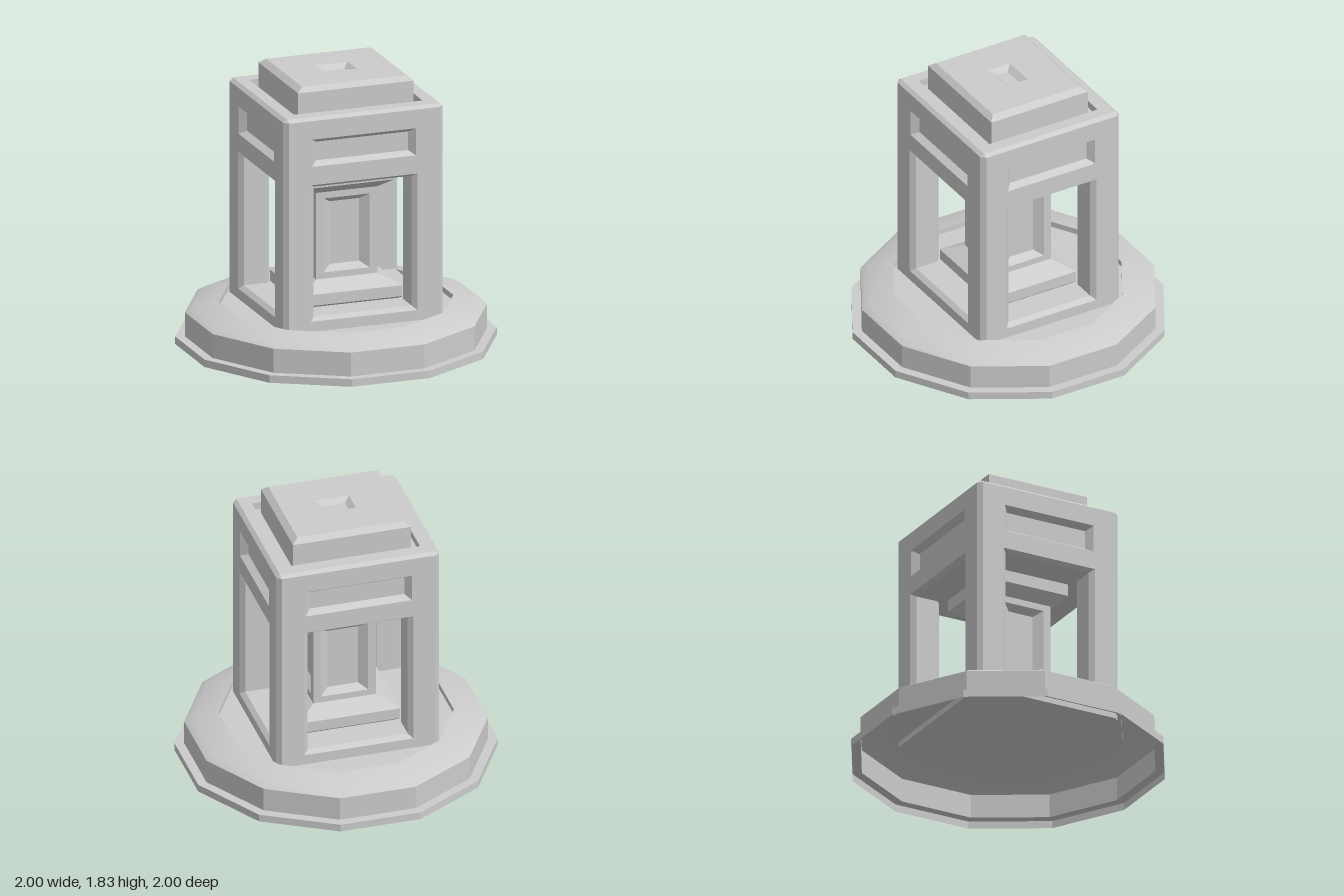
import * as THREE from 'three';
import { mergeGeometries, toCreasedNormals } from 'three/addons/utils/BufferGeometryUtils.js';

const material = new THREE.MeshStandardMaterial({ color: 0xcccccc });
const shellMaterial = new THREE.MeshStandardMaterial({ color: 0xcccccc, side: THREE.DoubleSide });

// Counter-clockwise rectangle in xy at depth z; c chamfers the corners (eight points)
function rect(hw, y0, y1, z, c) {
  const xy = c === undefined
    ? [[-hw, y0], [hw, y0], [hw, y1], [-hw, y1]]
    : [[-hw + c, y0], [hw - c, y0], [hw, y0 + c], [hw, y1 - c],
       [hw - c, y1], [-hw + c, y1], [-hw, y1 - c], [-hw, y0 + c]];
  return xy.map(([x, y]) => [x, y, z]);
}
const level = (hw, hd, y, c) => rect(hw, -hd, hd, y, c);

// Flat-shaded skin through matching loops, with optional end caps
function skin(loops, { first = false, last = false, keep = () => true } = {}) {
  const pos = [];
  const tri = (a, b, c) => pos.push(...a, ...b, ...c);
  for (let k = 0; k + 1 < loops.length; k++) {
    const a = loops[k], b = loops[k + 1];
    a.forEach((p, i) => {
      if (!keep(i)) return;
      const j = (i + 1) % a.length;
      tri(p, a[j], b[j]);
      tri(p, b[j], b[i]);
    });
  }
  const A = loops[0], B = loops[loops.length - 1];
  for (let i = 1; i + 1 < A.length; i++) {
    if (first) tri(A[0], A[i + 1], A[i]);
    if (last) tri(B[0], B[i], B[i + 1]);
  }
  const g = new THREE.BufferGeometry();
  g.setAttribute('position', new THREE.Float32BufferAttribute(pos, 3));
  g.computeVertexNormals();
  return g;
}

// Skin stacked upwards: local z becomes y
const stack = (loops, options) => skin(loops, options).rotateX(-Math.PI / 2);
const cornersOnly = (i) => i % 2 === 1;

// Upright face with openings; each opening is a list of loops going inwards
function pierced(hw, y0, y1, dist, openings) {
  const toPath = (r) => r.map(([x, y]) => new THREE.Vector2(x, y));
  const shape = new THREE.Shape(toPath(rect(hw, y0, y1, 0)));
  for (const { loops } of openings) shape.holes.push(new THREE.Path(toPath(loops[0])));
  const face = new THREE.ShapeGeometry(shape).toNonIndexed();
  face.deleteAttribute('uv');
  const parts = [face, ...openings.map((o) => skin(o.loops, { last: o.closed }))];
  return mergeGeometries(parts).translate(0, 0, dist);
}

// Four sides; make(halfWidth, distance) gives the front-facing one
function fourSides(hx, hz, make) {
  return [0, 1, 2, 3].map((i) =>
    (i % 2 ? make(hz, hx) : make(hx, hz)).rotateY(i * Math.PI / 2));
}

function add(group, name, geometry, mat = material) {
  const mesh = new THREE.Mesh(geometry, mat);
  mesh.name = name;
  group.add(mesh);
}

export function createModel() {
  const model = new THREE.Group();
  model.name = 'pavilion';

  // Twelve-sided hollow base with a rounded shoulder and a slightly sunken floor
  const profile = [[1.035, 0], [1.035, 0.05], [0.973, 0.05], [0.973, 0.21],
    [0.925, 0.237], [0.755, 0.275], [0.755, 0.237], [0, 0.237]]
    .map(([r, y]) => new THREE.Vector2(r, y));
  const base = new THREE.LatheGeometry(profile, 12, Math.PI / 12);
  add(model, 'base', toCreasedNormals(base, 0.45), shellMaterial);

  // Tower walls: a frieze panel above a window that runs through between the corner posts
  const HX = 0.545, HZ = 0.515, C = 0.03, FOOT = 0.2;
  const walls = fourSides(HX, HZ, (hw, dist) => pierced(hw - C, FOOT, 1.65, dist, [
    { loops: [rect(hw - 0.18, 0.305, 1.22, 0), rect(hw - 0.21, 0.33, 1.2, -0.03),
              rect(hw - 0.21, 0.33, 1.2, -0.185)] },
    { loops: [rect(hw - 0.19, 1.343, 1.525, 0), rect(hw - 0.228, 1.37, 1.495, -0.045)], closed: true },
  ]));
  add(model, 'towerWalls', mergeGeometries(walls));
  add(model, 'towerCornerChamfers',
    stack([level(HX, HZ, FOOT, C), level(HX, HZ, 1.65, C)], { first: true, keep: cornersOnly }));
  add(model, 'towerTopChamfer', stack([level(HX, HZ, 1.65, C), level(HX - 0.025, HZ - 0.025, 1.67, 0)]));
  add(model, 'towerTop', stack([level(HX - 0.025, HZ - 0.025, 1.67),
    level(0.44, 0.405, 1.67), level(0.44, 0.405, 1.62)], { last: true }));

  // Inner chamber: ceiling, chamfered post corners and floor
  add(model, 'chamber', stack([level(0.36, 0.33, 1.2, 0.025), level(0.36, 0.33, 0.33, 0.025)],
    { first: true, last: true, keep: cornersOnly }));

  // Roof block with a small sunken socket
  add(model, 'roofBlock', stack([
    level(0.395, 0.36, 1.62), level(0.395, 0.36, 1.795), level(0.355, 0.325, 1.825),
    level(0.11, 0.08, 1.825), level(0.072, 0.04, 1.795)], { last: true }));

  // Inner column: foot, panelled shaft and capital
  add(model, 'columnFoot', stack([
    level(0.325, 0.295, 0.33), level(0.337, 0.307, 0.342),
    level(0.337, 0.307, 0.415), level(0.21, 0.195, 0.48)]));
  add(model, 'columnShaft', mergeGeometries(fourSides(0.21, 0.195, (hw, dist) =>
    pierced(hw, 0.48, 1.06, dist, [{
      loops: [rect(hw - 0.053, 0.522, 1.017, 0), rect(hw - 0.108, 0.56, 0.98, -0.045)],
      closed: true,
    }]))));
  add(model, 'columnCapital', stack([
    level(0.21, 0.195, 1.06), level(0.293, 0.277, 1.12), level(0.293, 0.277, 1.2)]));

  return model;
}
